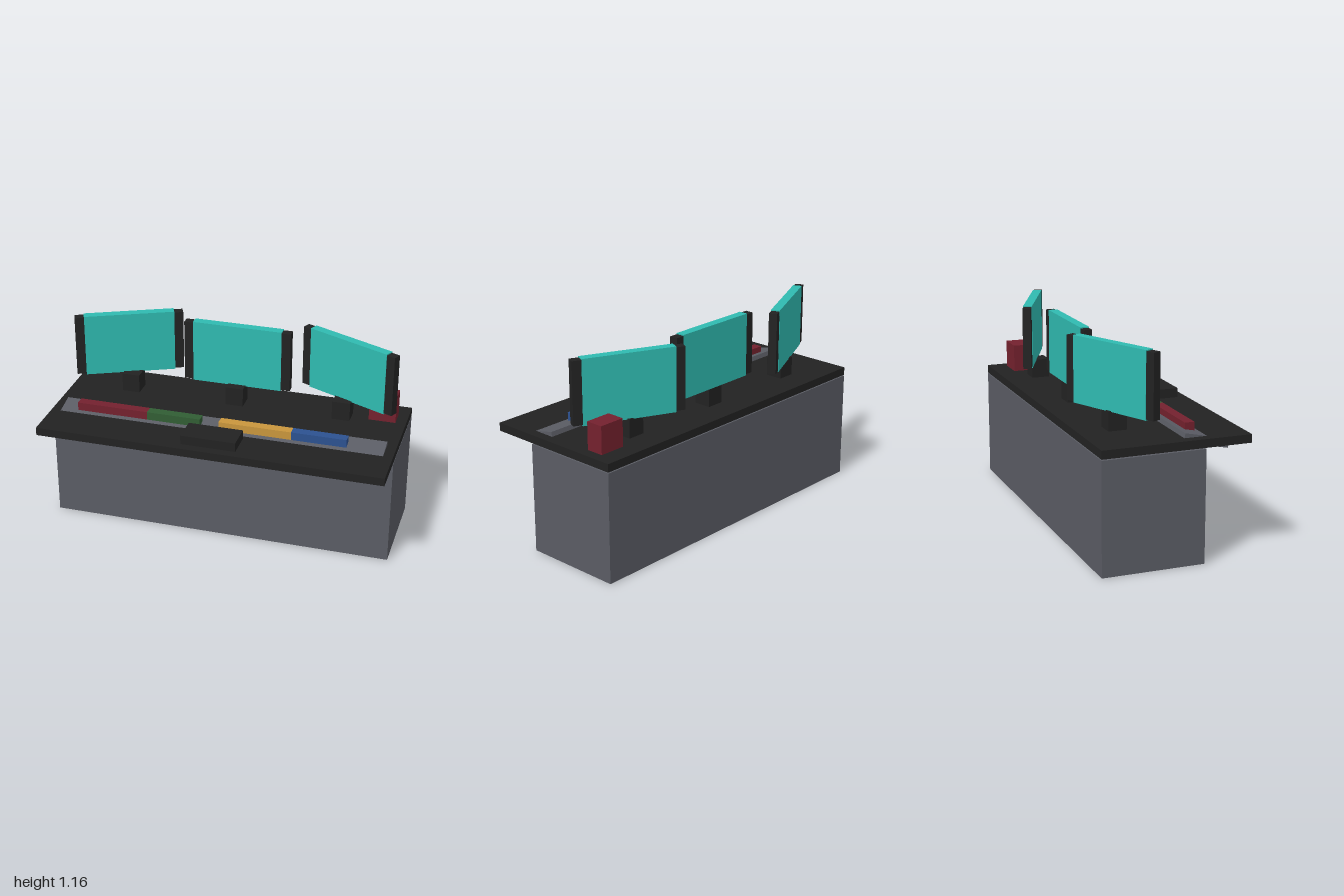
import * as THREE from 'three';

const mat = (name, color, side = THREE.FrontSide) => {
  const m = new THREE.MeshStandardMaterial({ color, side });
  m.name = name;
  return m;
};

export function createModel() {
  const black = mat('black', 0x222222);
  const grey = mat('grey', 0x5a5c64, THREE.DoubleSide);
  const teal = mat('teal', 0x2fbab0);
  const red = mat('red', 0x74212e);
  const green = mat('green', 0x315d34);
  const amber = mat('amber', 0xc9963c);
  const blue = mat('blue', 0x2c5190);

  const model = new THREE.Group();
  model.name = 'controlDesk';

  // Box given by its limits on each axis
  const box = (name, material, [x0, x1], [y0, y1], [z0, z1], parent = model) => {
    const geo = new THREE.BoxGeometry(x1 - x0, y1 - y0, z1 - z0);
    const mesh = new THREE.Mesh(geo, material);
    mesh.position.set((x0 + x1) / 2, (y0 + y1) / 2, (z0 + z1) / 2);
    mesh.name = name;
    parent.add(mesh);
    return mesh;
  };

  // Hollow cabinet, open at the bottom (the box's fourth face is dropped)
  const cabinet = box('cabinet', grey, [-1, 1], [0, 0.632], [-0.42, 0.16]);
  const index = [...cabinet.geometry.index.array];
  index.splice(18, 6);
  cabinet.geometry.setIndex(index);
  cabinet.geometry.clearGroups();

  box('deskTop', black, [-1, 1], [0.638, 0.685], [-0.42, 0.42]);

  // Sloping console panel set through the desk top
  const panel = box('consolePanel', grey, [-0.945, 0.945], [-0.0255, 0.0255], [-0.13, 0.13]);
  panel.position.set(0, 0.659, 0.186);
  panel.rotation.x = 0.21;

  // Coloured button strips
  [
    ['redButtons', red, -0.845, -0.425],
    ['greenButtons', green, -0.425, -0.11],
    ['amberButtons', amber, 0, 0.42],
    ['blueButtons', blue, 0.42, 0.735],
  ].forEach(([name, m, x0, x1]) => box(name, m, [x0, x1], [0.685, 0.738], [0.105, 0.16]));

  box('keypad', black, [-0.158, 0.158], [0.685, 0.738], [0.212, 0.368]);
  box('telephoneBox', red, [0.785, 0.94], [0.632, 0.845], [-0.313, -0.21]);

  // Three monitors on stands, the outer two turned inwards
  [
    ['centre', 0, 0, -0.237, 0],
    ['right', -0.66, -0.635, -0.231, 0.43],
    ['left', 0.658, 0.632, -0.231, -0.43],
  ].forEach(([name, x, standX, z, turn]) => {
    const monitor = new THREE.Group();
    monitor.name = `${name}Monitor`;
    monitor.position.set(x, 0.975, z);
    monitor.rotation.y = turn;
    box('bezel', black, [-0.316, 0.316], [-0.179, 0.179], [-0.024, 0.024], monitor);
    box('screen', teal, [-0.263, 0.263], [-0.185, 0.185], [-0.026, 0.026], monitor);
    model.add(monitor);
    box(`${name}Stand`, black, [standX - 0.052, standX + 0.052], [0.632, 0.795], [-0.262, -0.158]);
  });

  return model;
}
